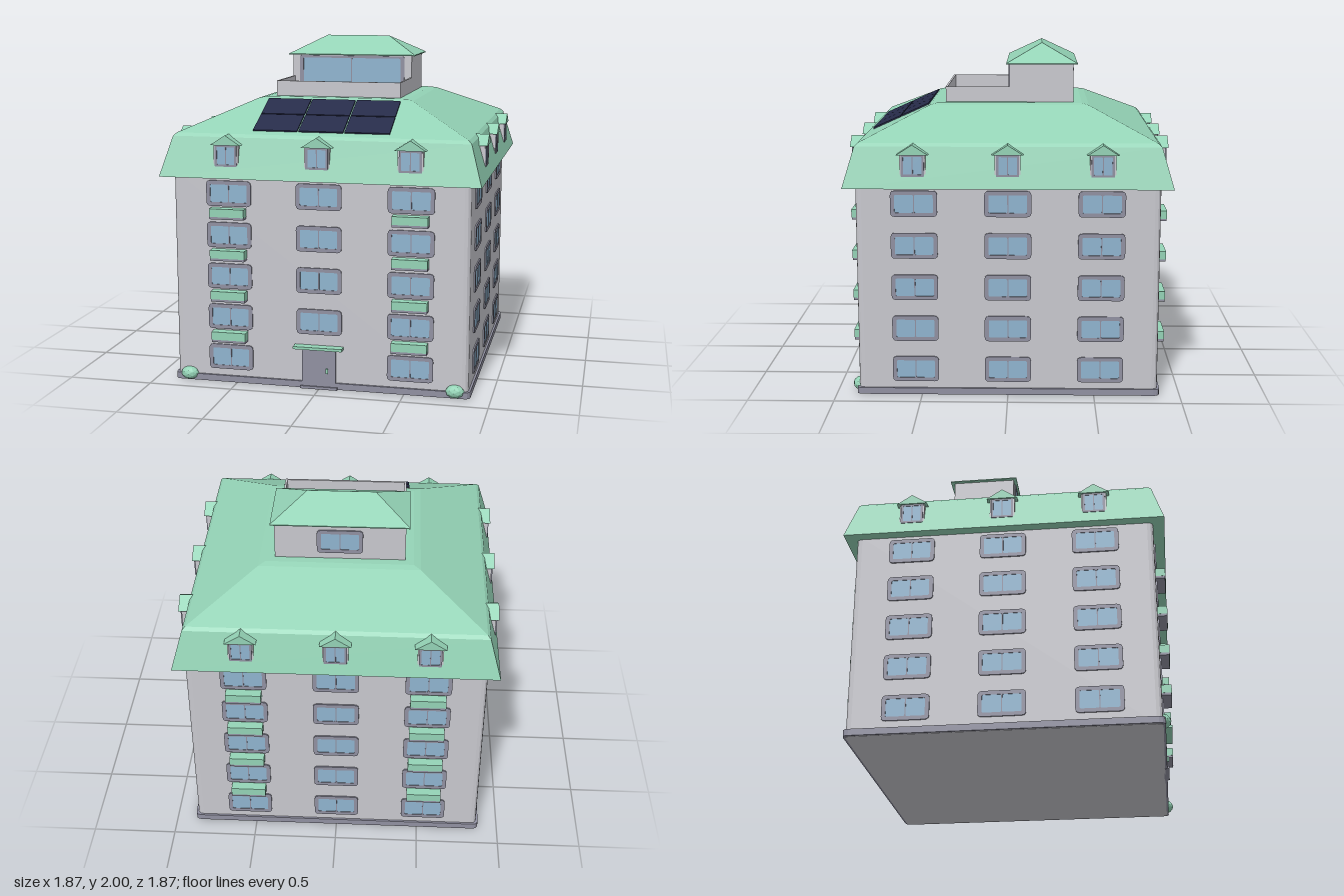
import * as THREE from 'three';

const mat = (name, color) => new THREE.MeshStandardMaterial({ name, color });

// Rounded rectangle centred on (x, y)
function roundedRect(w, h, r, x = 0, y = 0, Type = THREE.Shape) {
  const s = new Type(), a = x - w / 2, b = x + w / 2, c = y - h / 2, d = y + h / 2;
  s.moveTo(a + r, c);
  s.lineTo(b - r, c); s.quadraticCurveTo(b, c, b, c + r);
  s.lineTo(b, d - r); s.quadraticCurveTo(b, d, b - r, d);
  s.lineTo(a + r, d); s.quadraticCurveTo(a, d, a, d - r);
  s.lineTo(a, c + r); s.quadraticCurveTo(a, c, a + r, c);
  return s;
}

const extrude = (shape, depth) =>
  new THREE.ExtrudeGeometry(shape, { depth, bevelEnabled: false, curveSegments: 3 });

// Faceted solid through rectangular rings [halfX, halfZ, y], closed at both ends
function ringSolid(rings) {
  const pos = [];
  const corners = ([x, z, y]) => [[-x, y, z], [x, y, z], [x, y, -z], [-x, y, -z]];
  const quad = (a, b, c, d) => pos.push(...a, ...b, ...c, ...a, ...c, ...d);
  for (let i = 0; i < rings.length - 1; i++) {
    const lo = corners(rings[i]), hi = corners(rings[i + 1]);
    for (let k = 0; k < 4; k++) {
      const n = (k + 1) % 4;
      quad(lo[k], lo[n], hi[n], hi[k]);
    }
  }
  quad(...corners(rings[0]).reverse());
  quad(...corners(rings[rings.length - 1]));
  const g = new THREE.BufferGeometry();
  g.setAttribute('position', new THREE.Float32BufferAttribute(pos, 3));
  g.computeVertexNormals();
  return g;
}

export function createModel() {
  const wall = mat('wall', 0xc8c8ce);
  const trim = mat('trim', 0x9090a1);
  const roofGreen = mat('roofGreen', 0x94d3b6);
  const glass = mat('glass', 0x8fb4cf);
  const solar = mat('solar', 0x262b49);

  const model = new THREE.Group();
  model.name = 'apartmentHouse';

  const add = (parent, name, geometry, material, x = 0, y = 0, z = 0) => {
    const m = new THREE.Mesh(geometry, material);
    m.name = name;
    m.position.set(x, y, z);
    parent.add(m);
    return m;
  };
  const box = (parent, name, material, w, h, d, x, y, z) =>
    add(parent, name, new THREE.BoxGeometry(w, h, d), material, x, y, z);

  // Two-pane window: frame with holes and a recessed glass sheet
  function windowParts(w, h, r, side, edge) {
    const s = roundedRect(w, h, r), bar = 0.006;
    const pw = (w - 2 * side - bar) / 2, ph = h - 2 * edge;
    for (const k of [-1, 1])
      s.holes.push(roundedRect(pw, ph, Math.min(r, 0.008), k * (pw + bar) / 2, 0, THREE.Path));
    return [extrude(s, 0.01), new THREE.BoxGeometry(w - side, h - edge, 0.006)];
  }
  function addWindow(parent, parts, x, y, z) {
    const g = new THREE.Group();
    g.name = 'window';
    g.position.set(x, y, z);
    add(g, 'windowFrame', parts[0], trim);
    add(g, 'windowGlass', parts[1], glass, 0, 0, 0.004);
    parent.add(g);
  }
  const standardWindow = windowParts(0.268, 0.15, 0.025, 0.024, 0.023);
  const dormerWindow = windowParts(0.13, 0.125, 0.004, 0.013, 0.012);

  // Main walls and plinth
  add(model, 'walls', extrude(roundedRect(1.74, 1.74, 0.035), 1.24).rotateX(-Math.PI / 2), wall);
  add(model, 'plinth', extrude(roundedRect(1.765, 1.765, 0.035), 0.038).rotateX(-Math.PI / 2), trim, 0, 0.002, 0);

  // Mansard roof, with softened breaks between slopes
  add(model, 'mansardRoof', ringSolid([
    [0.935, 0.935, 1.23], [0.868, 0.868, 1.462], [0.85, 0.85, 1.48],
    [0.47, 0.47, 1.651], [0.43, 0.43, 1.66],
  ]), roofGreen);

  // Dormer gable, shared by all twelve
  const gable = extrude(new THREE.Shape([
    new THREE.Vector2(-0.09, 1.422), new THREE.Vector2(0.09, 1.422), new THREE.Vector2(0, 1.48),
  ]), 0.1);

  // Four facades: windows, dormers and balconies
  const columns = [-0.535, 0, 0.535];
  ['front', 'right', 'back', 'left'].forEach((side, k) => {
    const f = new THREE.Group();
    f.name = side + 'Facade';
    f.rotation.y = k * Math.PI / 2;
    model.add(f);
    for (const x of columns) {
      for (let row = 0; row < 5; row++) {
        const y = 0.155 + row * 0.245;
        if (!(k === 0 && row === 0 && x === 0)) addWindow(f, standardWindow, x, y, 0.868);
        if (k % 2 === 0 && x !== 0 && row > 0) {
          box(f, 'balconySlab', trim, 0.205, 0.014, 0.057, x, y - 0.138, 0.8965);
          box(f, 'balconyRail', roofGreen, 0.207, 0.048, 0.06, x, y - 0.107, 0.897);
        }
      }
      const d = new THREE.Group();
      d.name = 'dormer';
      d.position.x = x;
      box(d, 'dormerWalls', wall, 0.146, 0.13, 0.08, 0, 1.36, 0.872);
      addWindow(d, dormerWindow, 0, 1.361, 0.909);
      add(d, 'dormerRoof', gable, roofGreen, 0, 0, 0.828);
      f.add(d);
    }
  });

  // Entrance
  const entrance = new THREE.Group();
  entrance.name = 'entrance';
  model.add(entrance);
  add(entrance, 'door', extrude(roundedRect(0.2, 0.225, 0.014), 0.018), trim, 0, 0.122, 0.868);
  box(entrance, 'doorHandle', roofGreen, 0.013, 0.03, 0.012, 0.05, 0.112, 0.89);
  box(entrance, 'doorStep', trim, 0.22, 0.016, 0.03, 0, 0.008, 0.88);
  box(entrance, 'doorCanopy', roofGreen, 0.29, 0.016, 0.06, 0, 0.252, 0.895);

  // Faceted bushes at the front corners
  for (const x of [-0.795, 0.795]) {
    const g = new THREE.IcosahedronGeometry(1, 1).toNonIndexed();
    g.computeVertexNormals();
    add(model, 'bush', g, roofGreen, x, 0.04, 0.868).scale.set(0.055, 0.04, 0.045);
  }

  // Solar panels lying on the front slope
  const panels = new THREE.Group();
  panels.name = 'solarPanels';
  const slope = Math.atan2(0.171, 0.38);
  panels.position.set(0, 1.48 + (0.85 - 0.648) * 0.45 + 0.004, 0.65);
  panels.rotation.x = slope;
  for (const x of [-0.269, 0, 0.269])
    for (const z of [-0.0935, 0.0935])
      box(panels, 'solarPanel', solar, 0.261, 0.008, 0.179, x, 0, z);
  model.add(panels);

  // Roof terrace with parapet
  box(model, 'terraceFloor', trim, 0.75, 0.012, 0.38, 0, 1.661, 0.19);
  box(model, 'parapetFront', wall, 0.76, 0.11, 0.012, 0, 1.695, 0.376);
  for (const x of [-0.374, 0.374])
    box(model, 'parapetSide', wall, 0.012, 0.11, 0.38, x, 1.695, 0.19);

  // Penthouse with hipped roof
  box(model, 'penthouseWalls', wall, 0.76, 0.25, 0.38, 0, 1.765, -0.19);
  addWindow(model, windowParts(0.67, 0.205, 0.015, 0.025, 0.014), 0, 1.778, -0.002);
  const rear = new THREE.Group();
  rear.name = 'penthouseRearWindow';
  rear.rotation.y = Math.PI;
  addWindow(rear, standardWindow, 0, 1.775, 0.378);
  model.add(rear);
  add(model, 'penthouseRoof', ringSolid([
    [0.402, 0.212, 1.884], [0.402, 0.212, 1.89], [0.2, 0.001, 2],
  ]), roofGreen, 0, 0, -0.192);

  return model;
}
